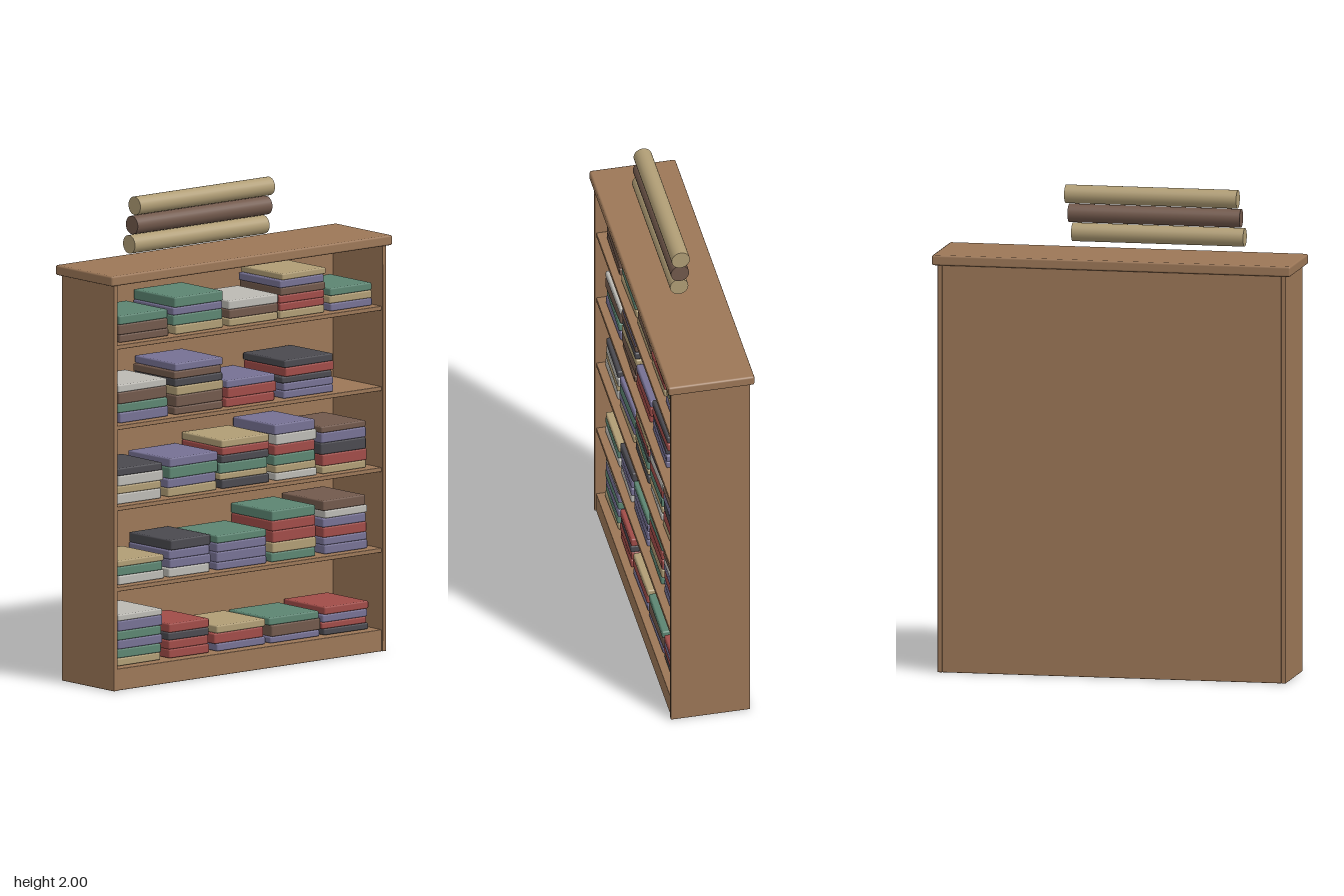
import * as THREE from 'three';
import { RoundedBoxGeometry } from 'three/addons/geometries/RoundedBoxGeometry.js';

const mat = (name, color) => {
  const m = new THREE.MeshStandardMaterial({ color });
  m.name = name;
  return m;
};

export function createModel() {
  const model = new THREE.Group();
  model.name = 'bookcase';

  const wood = mat('wood', 0x9c7757);
  const covers = {
    G: mat('green', 0x5c8572),
    M: mat('brown', 0x72594c),
    L: mat('lavender', 0x767194),
    R: mat('red', 0xa04c48),
    W: mat('pale grey', 0xbcbab4),
    K: mat('charcoal', 0x4a494f),
    S: mat('parchment', 0xb09d75),
  };

  // Softly bevelled box given by its size and centre
  const slab = (parent, name, material, w, h, d, x, y, z, bevel) => {
    const mesh = new THREE.Mesh(new RoundedBoxGeometry(w, h, d, 1, bevel), material);
    mesh.name = name;
    mesh.position.set(x, y, z);
    parent.add(mesh);
    return mesh;
  };

  // Case: sides, back, plinth and overhanging top
  const frame = new THREE.Group();
  frame.name = 'case';
  model.add(frame);
  slab(frame, 'leftSide', wood, 0.02, 1.68, 0.332, 0.715, 0.84, 0, 0.003);
  slab(frame, 'rightSide', wood, 0.02, 1.68, 0.332, -0.715, 0.84, 0, 0.003);
  slab(frame, 'backPanel', wood, 1.41, 1.68, 0.016, 0, 0.84, -0.155, 0.002);
  slab(frame, 'plinth', wood, 1.41, 0.09, 0.308, 0, 0.045, 0.006, 0.003);
  slab(frame, 'topBoard', wood, 1.494, 0.042, 0.36, 0, 1.7, 0, 0.008);

  // Book stacks per level: [centre x, width, cover letter + thickness, bottom to top]
  const unit = 0.0053;
  const levels = [
    { y: 0.093, stacks: [
      [-0.555, 0.235, 'S6G7L7G7L8W5'], [-0.294, 0.212, 'R7R7K6R7'],
      [-0.022, 0.262, 'L6R8S6'], [0.269, 0.264, 'L5M9G6'], [0.54, 0.235, 'K5R5L6R6']] },
    { y: 0.428, stacks: [
      [-0.55, 0.245, 'W7G7S5'], [-0.288, 0.215, 'W7L7L7K8'], [-0.01, 0.262, 'L6L8L7G6'],
      [0.263, 0.232, 'G7S8R9R8G8'], [0.538, 0.228, 'L7L6R8L7W6M8']] },
    { y: 0.762, stacks: [
      [-0.553, 0.237, 'W8S6W8K6'], [-0.275, 0.26, 'S7L7G9L7'], [0.007, 0.25, 'K7S5G8K6R6S6'],
      [0.275, 0.218, 'W6S6G8R8W8L8'], [0.535, 0.238, 'S6R9K9L8M5']] },
    { y: 1.097, stacks: [
      [-0.535, 0.26, 'L8G7M9W6'], [-0.243, 0.252, 'M6M9S7K6M6L6'],
      [0.038, 0.258, 'R7R8L6'], [0.341, 0.262, 'L6L6K5R7K6']] },
    { y: 1.43, stacks: [
      [-0.535, 0.258, 'M6M8G7'], [-0.243, 0.258, 'S7G8L6G8'], [0.05, 0.258, 'S6M7W7'],
      [0.313, 0.236, 'S6R6R6M6L6S5'], [0.565, 0.222, 'L6S6G6']] },
  ];

  // Small seeded variation, so that the books lie slightly askew
  let seed = 7;
  const jitter = (range) => {
    seed = (seed * 16807) % 2147483647;
    return (seed / 2147483647 - 0.5) * range;
  };

  levels.forEach(({ y, stacks }, i) => {
    // The plinth carries the lowest level, a shelf carries each other one
    if (i > 0) slab(frame, 'shelf', wood, 1.41, 0.018, 0.308, 0, y - 0.01, 0.006, 0.003);
    for (const [x, width, code] of stacks) {
      const stack = new THREE.Group();
      stack.name = 'bookStack';
      stack.position.set(x, y, -0.003);
      model.add(stack);
      let base = 0;
      for (let k = 0; k < code.length; k += 2) {
        const h = Number(code[k + 1]) * unit;
        const book = slab(stack, 'book', covers[code[k]], width, h, 0.262,
          jitter(0.014), base + h / 2, 0, 0.006);
        book.rotation.y = jitter(0.05);
        base += h;
      }
    }
  });

  // Three scrolls, one above the other, over the top board
  [['S', -0.159, 1.806], ['M', -0.144, 1.884], ['S', -0.13, 1.962]].forEach(([cover, x, y]) => {
    const scroll = new THREE.Mesh(new THREE.CylinderGeometry(0.038, 0.038, 0.716, 24), covers[cover]);
    scroll.name = 'scroll';
    scroll.rotation.z = Math.PI / 2;
    scroll.position.set(x, y, 0.014);
    model.add(scroll);
  });

  return model;
}
